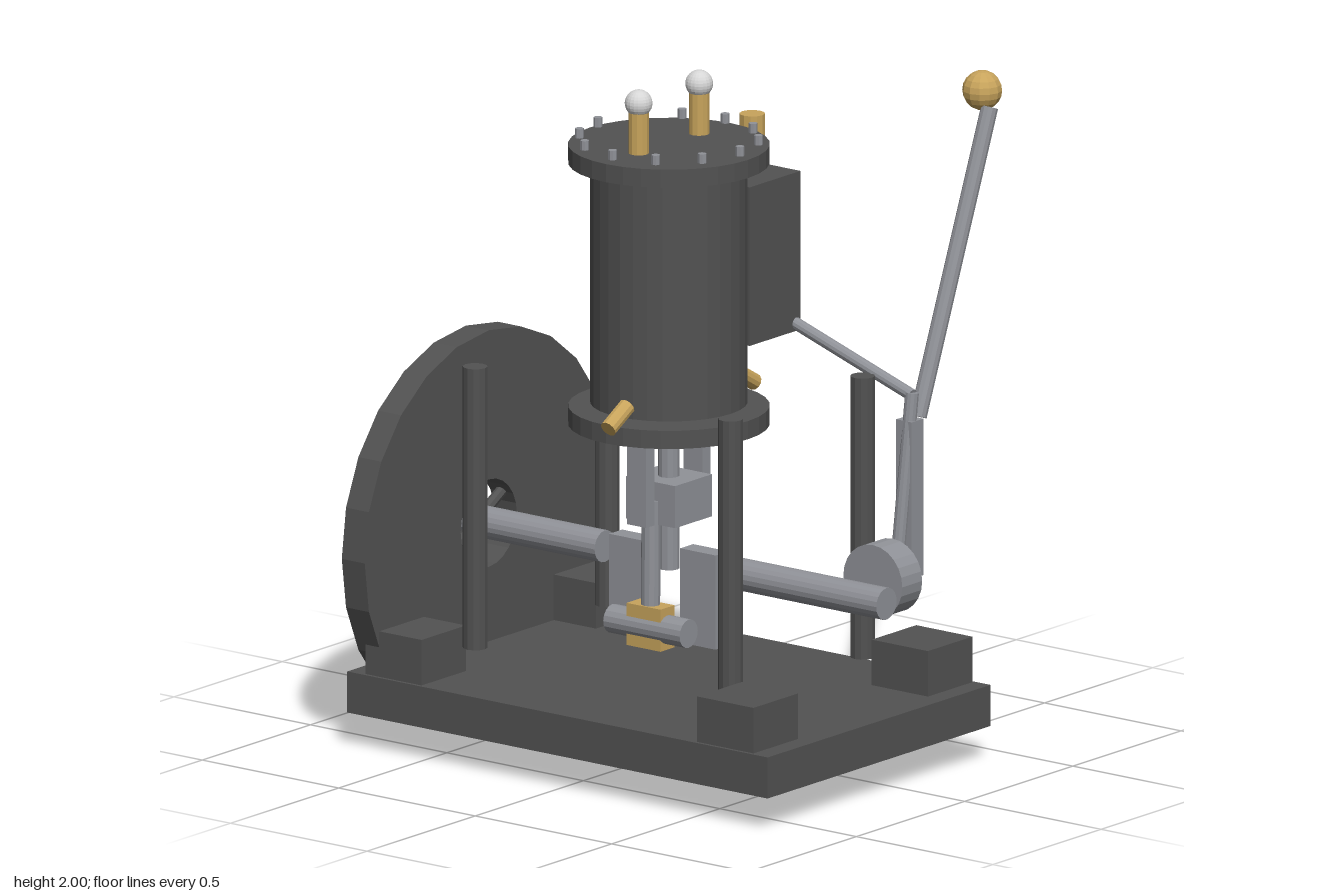
import * as THREE from 'three';

const flat = (name, hex) => {
  const m = new THREE.MeshStandardMaterial({ color: hex, flatShading: true });
  m.name = name;
  return m;
};

export function createModel() {
  const iron = flat('cast iron', 0x525252);
  const steel = flat('steel', 0x909298);
  const brass = flat('brass', 0xc8a45c);
  const silver = flat('polished silver', 0xd6d6d6);
  const model = new THREE.Group();
  model.name = 'steamEngine';
  const ZC = 0.105; // shared depth of cylinder and crankshaft axes
  const AXIS = 0.575; // crankshaft height

  const add = (name, geo, mat, x = 0, y = 0, z = 0) => {
    const mesh = new THREE.Mesh(geo, mat);
    mesh.name = name;
    mesh.position.set(x, y, z);
    model.add(mesh);
    return mesh;
  };
  // Box given by its minimum and maximum corners
  const box = (name, mat, a, b) => add(name,
    new THREE.BoxGeometry(b[0] - a[0], b[1] - a[1], b[2] - a[2]), mat,
    (a[0] + b[0]) / 2, (a[1] + b[1]) / 2, (a[2] + b[2]) / 2);
  // Round bar between two points
  const bar = (name, mat, a, b, r, sides = 12) => {
    const p = new THREE.Vector3(...a), q = new THREE.Vector3(...b);
    const d = q.clone().sub(p);
    const mesh = add(name, new THREE.CylinderGeometry(r, r, d.length(), sides), mat);
    mesh.position.copy(p).add(q).multiplyScalar(0.5);
    mesh.quaternion.setFromUnitVectors(new THREE.Vector3(0, 1, 0), d.normalize());
    return mesh;
  };
  const ball = (name, mat, r, x, y, z, w = 12, h = 8) =>
    add(name, new THREE.SphereGeometry(r, w, h), mat, x, y, z);

  // Bed plate, corner blocks and columns
  box('basePlate', iron, [-0.77, 0.1, ZC - 0.515], [0.77, 0.222, ZC + 0.515]);
  for (const sx of [-1, 1]) for (const sz of [-1, 1]) {
    add('cornerBlock', new THREE.BoxGeometry(0.206, 0.135, 0.206), iron,
      sx * 0.608, 0.29, ZC + sz * 0.403);
    bar('column', iron, [sx * 0.468, 0.3, ZC + sz * 0.305], [sx * 0.468, 1.135, ZC + sz * 0.305], 0.036);
  }

  // Flywheel: thick ring, short spokes, and the shaft halves
  const rim = [[0.13, -0.042], [0.573, -0.042], [0.573, 0.042], [0.13, 0.042], [0.13, -0.042]]
    .map(p => new THREE.Vector2(...p));
  const wheel = add('flywheel', new THREE.LatheGeometry(rim, 24), iron, -0.702, 0.573, ZC);
  wheel.rotation.z = Math.PI / 2;
  for (let i = 0; i < 6; i++) {
    const a = Math.PI / 6 + i * Math.PI / 3, c = Math.cos(a), s = Math.sin(a);
    bar('spoke', iron, [-0.702, AXIS + 0.03 * s, ZC + 0.03 * c],
      [-0.702, AXIS + 0.15 * s, ZC + 0.15 * c], 0.017, 8);
  }
  for (const s of [-1, 1]) {
    bar('crankshaft', steel, [s * 0.235, AXIS, ZC], [s * 0.797, AXIS, ZC], 0.047, 20);
    add('crankWeb', new THREE.BoxGeometry(0.13, 0.28, 0.06), steel, s * 0.13, 0.485, ZC);
  }

  // Crank pin, brass big end, connecting rod
  bar('crankPin', steel, [-0.14, 0.395, 0.19], [0.14, 0.395, 0.19], 0.042, 16);
  box('bigEndBearing', brass, [-0.062, 0.335, 0.157], [0.062, 0.46, 0.222]);
  bar('connectingRod', steel, [0, 0.43, 0.19], [0, 0.77, 0.187], 0.028);

  // Crosshead, its guides and piston rod
  box('crosshead', steel, [-0.09, 0.7, ZC - 0.085], [0.09, 0.825, ZC + 0.085]);
  for (const s of [-1, 1])
    add('crossheadGuide', new THREE.BoxGeometry(0.07, 0.275, 0.038), steel, 0, 0.8425, ZC + s * 0.13);
  bar('pistonRod', steel, [0, 0.55, ZC], [0, 1.77, ZC], 0.031);

  // Steam cylinder with flanges
  bar('cylinderBarrel', iron, [0, 1.045, ZC], [0, 1.745, ZC], 0.227, 32);
  bar('lowerFlange', iron, [0, 0.98, ZC], [0, 1.034, ZC], 0.29, 32);
  bar('upperFlange', iron, [0, 1.756, ZC], [0, 1.81, ZC], 0.29, 32);
  for (let i = 0; i < 12; i++) {
    const a = i * Math.PI / 6, x = 0.26 * Math.cos(a), z = ZC + 0.26 * Math.sin(a);
    bar('flangeBolt', steel, [x, 1.818, z], [x, 1.846, z], 0.013, 8);
  }

  // Oil cups on the cover and angled drain cocks at the foot
  for (const s of [-1, 1]) {
    const z = ZC + s * 0.14;
    bar('oilCup', brass, [0, 1.812, z], [0, 1.935, z], 0.03);
    ball('oilCupKnob', silver, 0.04, 0, 1.96, z, 20, 14);
    bar('drainCock', brass, [0.045, 1.09, ZC + s * 0.25], [0.045, 1.04, ZC + s * 0.337], 0.025);
  }

  // Valve chest and its oiler
  box('valveChest', iron, [-0.177, 1.207, -0.28], [0.177, 1.678, -0.045]);
  bar('chestOiler', brass, [0, 1.7, -0.28], [0, 1.82, -0.28], 0.037);

  // Eccentric and valve linkage
  bar('eccentric', steel, [0.606, 0.573, -0.165], [0.606, 0.573, -0.073], 0.108, 24);
  bar('eccentricRod', steel, [0.602, 0.56, -0.185], [0.615, 1.1, -0.243], 0.02);
  bar('valveLink', steel, [0.14, 1.24, -0.262], [0.615, 1.092, -0.243], 0.018);
  box('linkBar', steel, [0.578, 0.555, -0.27], [0.635, 1.02, -0.216]);

  // Reversing lever with ball grip
  bar('reversingLever', steel, [0.608, 1.02, -0.28], [0.608, 1.87, -0.61], 0.025);
  ball('leverGrip', brass, 0.058, 0.573, 1.913, -0.62, 12, 10);

  return model;
}
